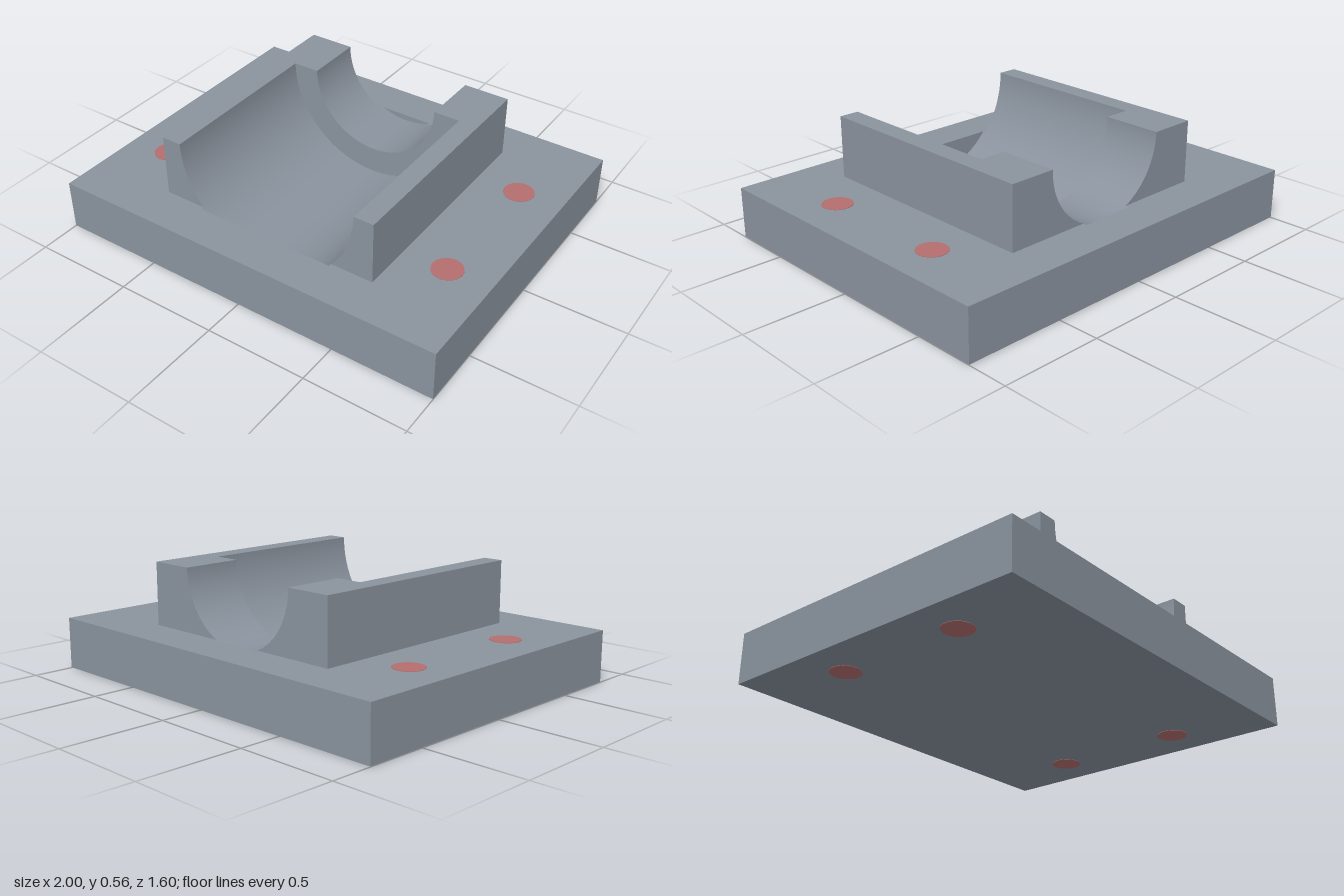
import * as THREE from 'three';

const steel = new THREE.MeshStandardMaterial({ color: 0x8a939e });
steel.name = 'steel grey';
steel.side = THREE.DoubleSide;
const red = new THREE.MeshStandardMaterial({ color: 0xb46e6e });
red.name = 'muted red';

const DECK = 0.25, TOP = 0.555;             // base top, block top (also bore axis)
const HALF_W = 0.565, HALF_D = 0.585;       // block half sizes
const BIG = 0.467, SMALL = 0.335, STEP = -0.29;
const FRONT_END = 0.6, BACK_END = -0.605;   // ends of the trough cut into the base

// Angle from the bottom of the bore at which it meets the deck
const deckAngle = (r) => Math.acos((TOP - DECK) / r);
const deckHalf = (r) => r * Math.sin(deckAngle(r));

// Points on the bore circle, angle measured from straight down
function arc(r, a0, a1, n = 40) {
  return Array.from({ length: n + 1 }, (_, i) => {
    const a = a0 + ((a1 - a0) * i) / n;
    return [r * Math.sin(a), TOP - r * Math.cos(a)];
  });
}

const toVectors = (pts) => pts.map(([x, y]) => new THREE.Vector2(x, y));
const flat = (pts) => new THREE.ShapeGeometry(new THREE.Shape(toVectors(pts)));

// Open part of a bore surface, running along z
function boreSurface(r, z0, z1, a) {
  return new THREE.CylinderGeometry(r, r, z1 - z0, 64, 1, true, -a, 2 * a)
    .rotateX(Math.PI / 2)
    .translate(0, TOP, (z0 + z1) / 2);
}

export function createModel() {
  const model = new THREE.Group();
  model.name = 'bearingCradle';

  function add(parent, name, geometry, material = steel) {
    const mesh = new THREE.Mesh(geometry, material);
    mesh.name = name;
    parent.add(mesh);
    return mesh;
  }
  function group(name) {
    const g = new THREE.Group();
    g.name = name;
    model.add(g);
    return g;
  }

  // Base plate: a box without its top, and a deck left open under the block
  const base = group('basePlate');
  const box = new THREE.BoxGeometry(2, DECK, 1.6).translate(0, DECK / 2, 0);
  box.setIndex(Array.from(box.index.array).filter((_, i) => i < 12 || i >= 18));
  box.clearGroups();
  add(base, 'baseSides', box);

  const deck = new THREE.Shape(toVectors([[-1, -0.8], [1, -0.8], [1, 0.8], [-1, 0.8]]));
  const f = deckHalf(BIG), b = deckHalf(SMALL);
  deck.holes.push(new THREE.Path(toVectors([
    [-HALF_W, -HALF_D], [-f, -HALF_D], [-f, -FRONT_END], [f, -FRONT_END], [f, -HALF_D],
    [HALF_W, -HALF_D], [HALF_W, HALF_D], [b, HALF_D], [b, -BACK_END], [-b, -BACK_END],
    [-b, HALF_D], [-HALF_W, HALF_D],
  ])));
  add(base, 'deck', new THREE.ShapeGeometry(deck).rotateX(-Math.PI / 2).translate(0, DECK, 0));

  // Stepped bore, sunk into the base
  const bore = group('bore');
  add(bore, 'largeBore', boreSurface(BIG, STEP, HALF_D, Math.PI / 2));
  add(bore, 'smallBore', boreSurface(SMALL, -HALF_D, STEP, Math.PI / 2));
  add(bore, 'frontTroughEdge', boreSurface(BIG, HALF_D, FRONT_END, deckAngle(BIG)));
  add(bore, 'backTroughEdge', boreSurface(SMALL, BACK_END, -HALF_D, deckAngle(SMALL)));
  add(bore, 'shoulder', flat([
    ...arc(BIG, -Math.PI / 2, Math.PI / 2), ...arc(SMALL, Math.PI / 2, -Math.PI / 2),
  ])).position.z = STEP;
  const frontWall = add(bore, 'frontTroughWall', flat(arc(BIG, -deckAngle(BIG), deckAngle(BIG))));
  frontWall.rotation.y = Math.PI;
  frontWall.position.z = FRONT_END;
  add(bore, 'backTroughWall', flat(arc(SMALL, -deckAngle(SMALL), deckAngle(SMALL)))).position.z = BACK_END;

  // Block walls either side of the bore
  for (const s of [1, -1]) {
    const cheek = group(s > 0 ? 'leftCheek' : 'rightCheek');
    const endFace = (r) => flat([
      [s * HALF_W, DECK], [s * HALF_W, TOP], ...arc(r, (s * Math.PI) / 2, s * deckAngle(r)),
    ]);
    add(cheek, 'cheekFront', endFace(BIG)).position.z = HALF_D;
    const back = add(cheek, 'cheekBack', endFace(SMALL));
    back.rotation.y = Math.PI;
    back.position.z = -HALF_D;
    add(cheek, 'cheekSide', new THREE.PlaneGeometry(2 * HALF_D, TOP - DECK)
      .rotateY((s * Math.PI) / 2)
      .translate(s * HALF_W, (TOP + DECK) / 2, 0));
    add(cheek, 'cheekTop', flat([
      [s * HALF_W, -HALF_D], [s * HALF_W, HALF_D], [s * SMALL, HALF_D],
      [s * SMALL, -STEP], [s * BIG, -STEP], [s * BIG, -HALF_D],
    ]).rotateX(-Math.PI / 2).translate(0, TOP, 0));
  }

  // Bolt position markers on both faces of the base
  const markers = group('boltMarkers');
  for (const x of [-0.783, 0.783]) {
    for (const z of [-0.333, 0.333]) {
      for (const y of [0, DECK]) {
        add(markers, 'boltMarker', new THREE.CylinderGeometry(0.073, 0.073, 0.004, 40), red)
          .position.set(x, y, z);
      }
    }
  }
  return model;
}
